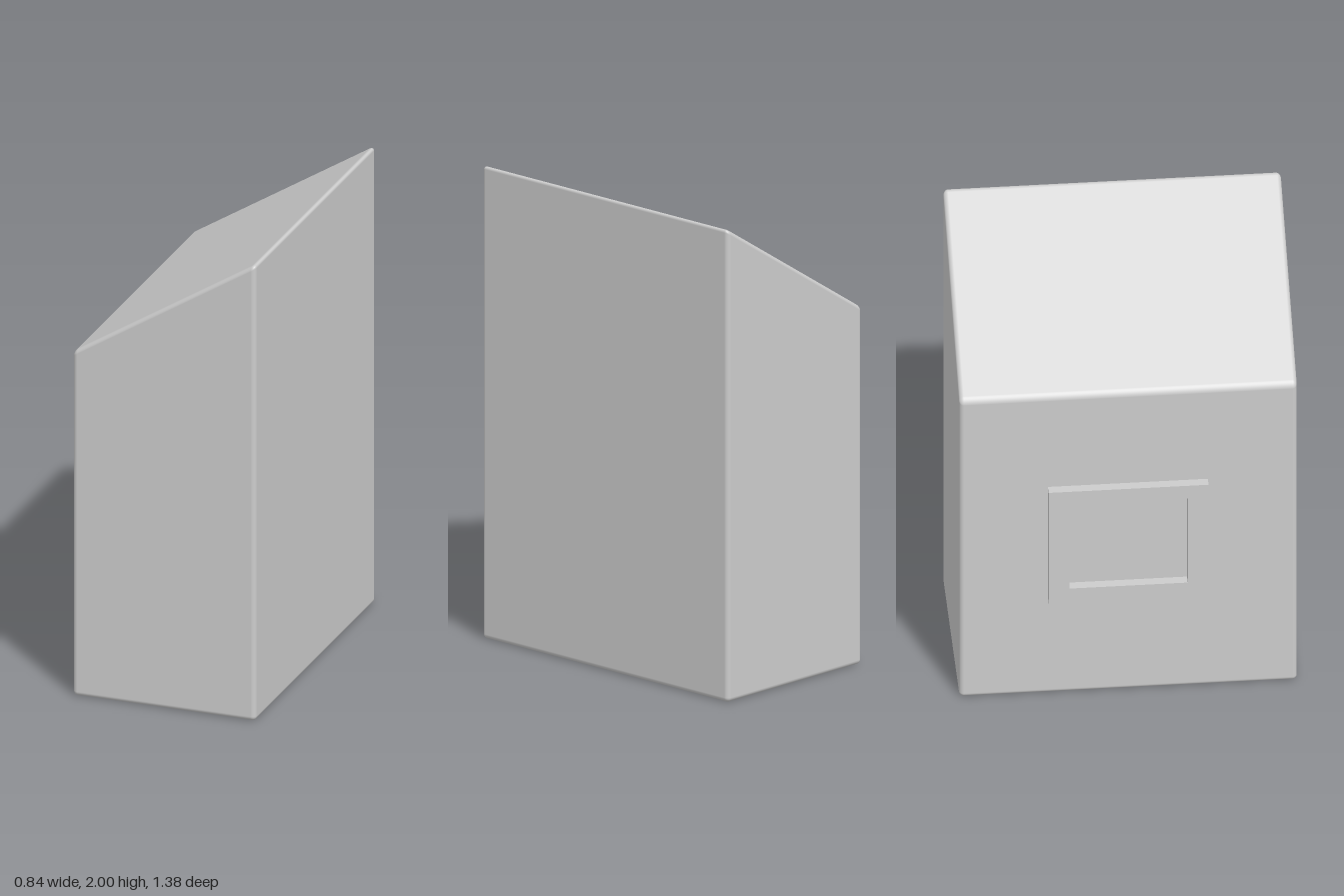
import * as THREE from 'three';
import { RoundedBoxGeometry } from 'three/addons/geometries/RoundedBoxGeometry.js';

const material = new THREE.MeshStandardMaterial({ color: 0xcccccc });

// Rounded box whose top half is sheared into a slope rising toward +x
function slopedBox(width, height, depth, radius, slope) {
  const geometry = new RoundedBoxGeometry(width, height, depth, 5, radius);
  const pos = geometry.attributes.position;
  const nor = geometry.attributes.normal;
  const n = new THREE.Vector3();
  for (let i = 0; i < pos.count; i++) {
    if (pos.getY(i) <= 0) continue;
    pos.setY(i, pos.getY(i) + slope * pos.getX(i));
    n.fromBufferAttribute(nor, i);
    n.x -= slope * n.y;
    n.normalize();
    nor.setXYZ(i, n.x, n.y, n.z);
  }
  return geometry;
}

function rectangle(path, z0, z1, y0, y1) {
  path.moveTo(z0, y0);
  path.lineTo(z1, y0);
  path.lineTo(z1, y1);
  path.lineTo(z0, y1);
  path.closePath();
  return path;
}

export function createModel() {
  const group = new THREE.Group();
  group.name = 'slopedCabinet';

  // Main body with softened edges
  const height = 1.761;
  const body = new THREE.Mesh(slopedBox(0.795, height, 1.38, 0.02, 0.625), material);
  body.name = 'body';
  body.position.set(0.02, height / 2, 0);
  group.add(body);

  // Raised rectangular frame on the low side, open through to the body
  const outline = rectangle(new THREE.Shape(), -0.328, 0.325, 0.49, 1.055);
  outline.holes.push(rectangle(new THREE.Path(), -0.243, 0.24, 0.56, 0.99));
  const frameGeometry = new THREE.ExtrudeGeometry(outline, { depth: 0.043, bevelEnabled: false });
  frameGeometry.rotateY(-Math.PI / 2);
  const frame = new THREE.Mesh(frameGeometry, material);
  frame.name = 'sideFrame';
  frame.position.x = -0.375;
  group.add(frame);

  return group;
}
